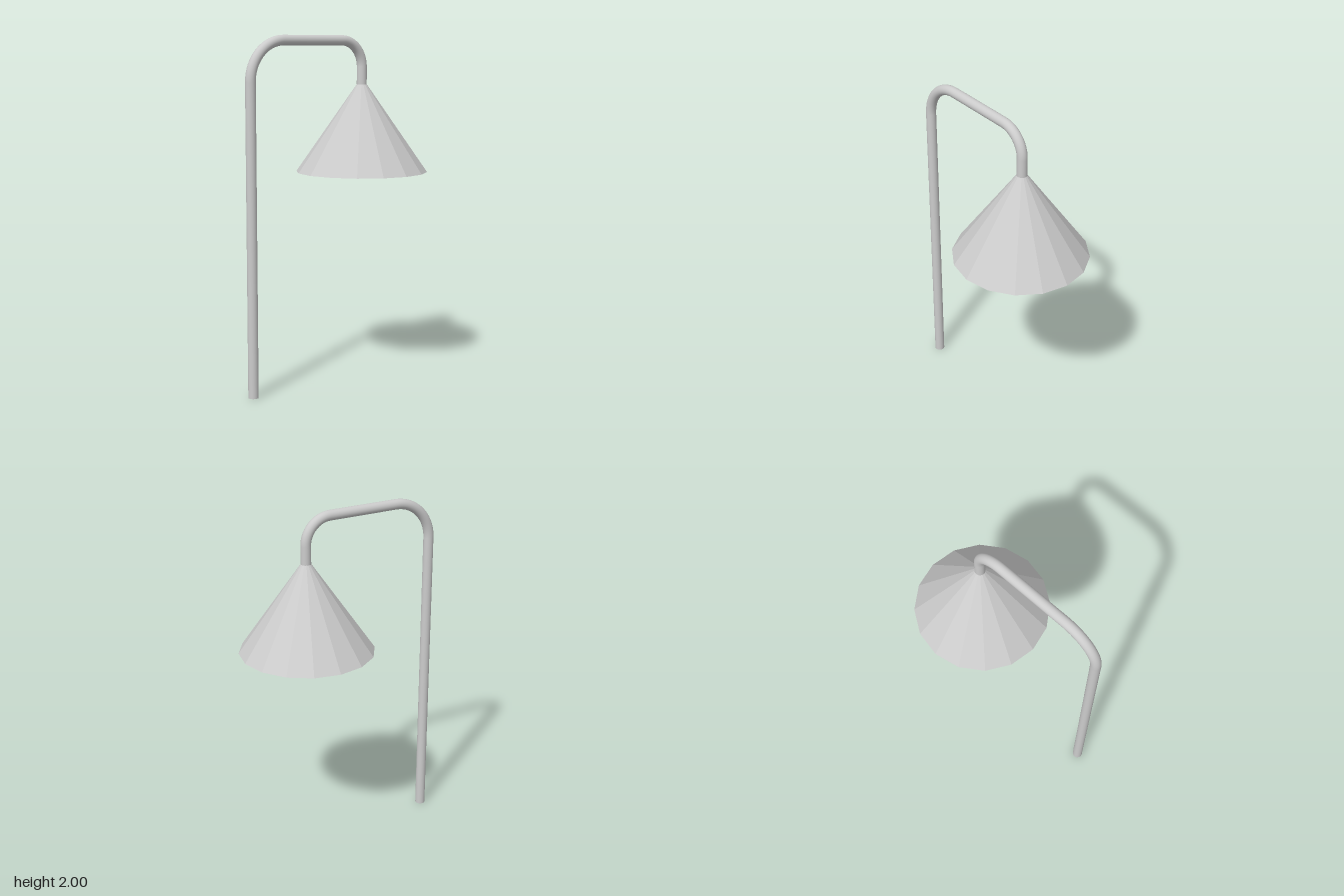
import * as THREE from 'three';

const PIPE = 0.029;
const POLE_X = -0.575, HEAD_X = 0.22, TOP_Y = 1.971;
const BIG_BEND = 0.225, SMALL_BEND = 0.15;
const HEAD_TOP = 1.72, HEAD_BOTTOM = 1.212, HEAD_R = 0.383, SIDES = 16;

const smooth = new THREE.MeshStandardMaterial({ color: 0xcccccc });
const faceted = new THREE.MeshStandardMaterial({ color: 0xcccccc, flatShading: true, side: THREE.DoubleSide });

function add(parent, name, geometry, material = smooth) {
  const mesh = new THREE.Mesh(geometry, material);
  mesh.name = name;
  parent.add(mesh);
  return mesh;
}

// Vertical pipe from y0 to y1
function upright(parent, name, x, y0, y1, open) {
  const mesh = add(parent, name, new THREE.CylinderGeometry(PIPE, PIPE, y1 - y0, 24, 1, open));
  mesh.position.set(x, (y0 + y1) / 2, 0);
}

// Quarter bend around a centre point
function bend(parent, name, x, radius, start) {
  const mesh = add(parent, name, new THREE.TorusGeometry(radius, PIPE, 24, 20, Math.PI / 2));
  mesh.position.set(x, TOP_Y - radius, 0);
  mesh.rotation.z = start;
}

// Ring of six round holes cut into the plate
function holeRing(shape, distance, radius, offset) {
  for (let i = 0; i < 6; i++) {
    const a = offset + (i * Math.PI) / 3;
    const hole = new THREE.Path();
    hole.absarc(distance * Math.cos(a), distance * Math.sin(a), radius, 0, Math.PI * 2, true);
    shape.holes.push(hole);
  }
}

export function createModel() {
  const model = new THREE.Group();
  model.name = 'showerColumn';

  // Bent supply pipe
  const pipe = new THREE.Group();
  pipe.name = 'pipe';
  model.add(pipe);
  const armStart = POLE_X + BIG_BEND, armEnd = HEAD_X - SMALL_BEND;
  upright(pipe, 'pole', POLE_X, 0, TOP_Y - BIG_BEND, false);
  bend(pipe, 'poleBend', armStart, BIG_BEND, Math.PI / 2);
  const arm = add(pipe, 'arm', new THREE.CylinderGeometry(PIPE, PIPE, armEnd - armStart, 24, 1, true));
  arm.rotation.z = Math.PI / 2;
  arm.position.set((armStart + armEnd) / 2, TOP_Y, 0);
  bend(pipe, 'headBend', armEnd, SMALL_BEND, 0);
  upright(pipe, 'drop', HEAD_X, HEAD_TOP - 0.01, TOP_Y - SMALL_BEND, false);

  // Hollow faceted cone
  const head = new THREE.Group();
  head.name = 'head';
  head.position.x = HEAD_X;
  model.add(head);
  const cone = add(head, 'cone',
    new THREE.CylinderGeometry(PIPE, HEAD_R, HEAD_TOP - HEAD_BOTTOM, SIDES, 1, true), faceted);
  cone.position.y = (HEAD_TOP + HEAD_BOTTOM) / 2;

  // Perforated plate closing the cone
  const outline = [];
  for (let i = 0; i < SIDES; i++) {
    const a = (i / SIDES) * Math.PI * 2;
    outline.push(new THREE.Vector2(HEAD_R * Math.cos(a), HEAD_R * Math.sin(a)));
  }
  const plateShape = new THREE.Shape(outline);
  const turn = Math.PI / 8;
  holeRing(plateShape, 0.1, 0.042, turn);
  holeRing(plateShape, 0.24, 0.077, turn + Math.PI / 6);
  const plate = add(head, 'sprayPlate', new THREE.ShapeGeometry(plateShape, 16).rotateX(Math.PI / 2), faceted);
  plate.position.y = HEAD_BOTTOM;

  return model;
}
